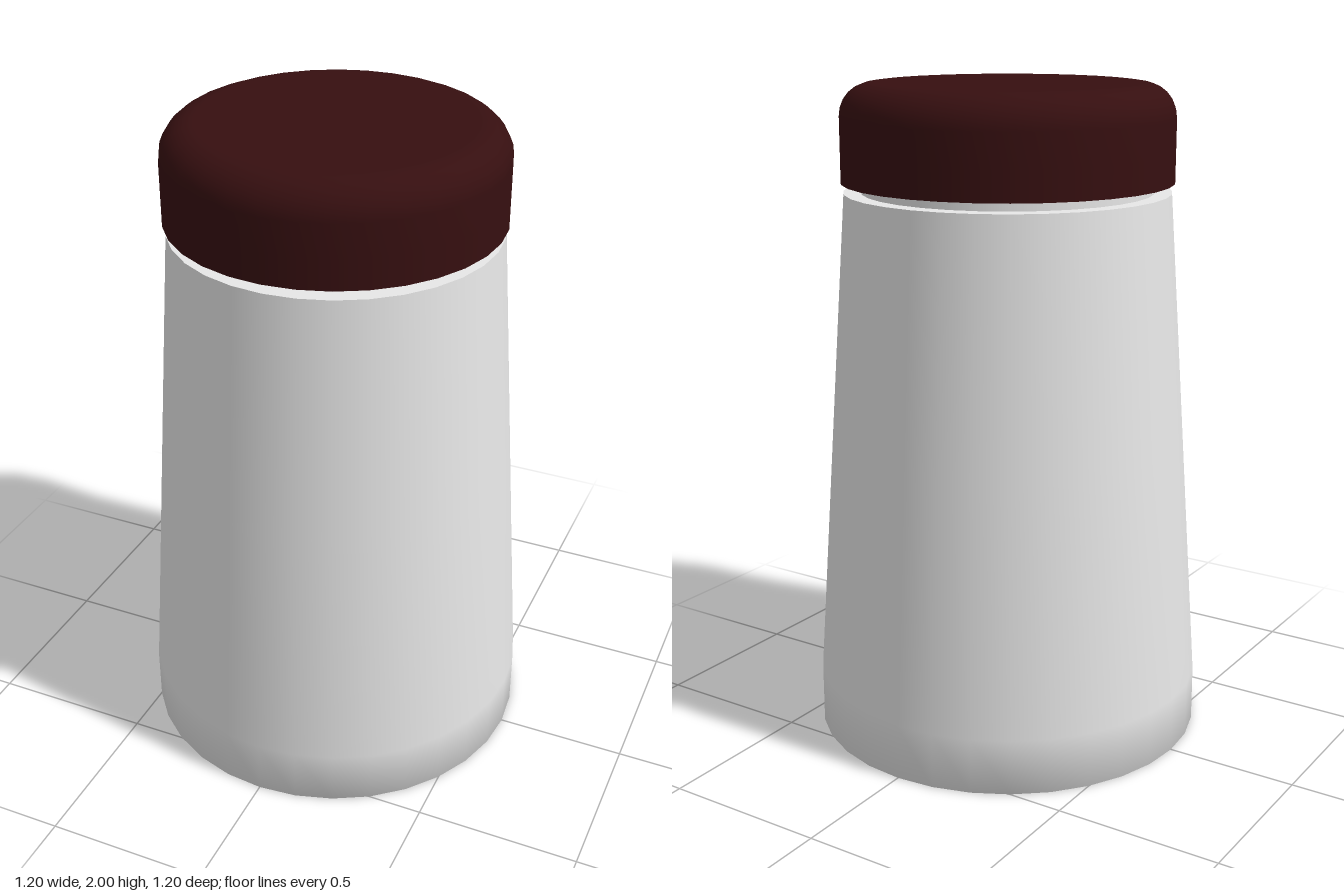
import * as THREE from 'three';

const SIDES = 32;

function material(name, color) {
  const m = new THREE.MeshStandardMaterial({ color });
  m.name = name;
  return m;
}

// Revolve [radius, height] pairs; outer walls run upward, inner walls downward
function turned(name, profile, mat) {
  const points = profile.map(([r, y]) => new THREE.Vector2(r, y));
  const mesh = new THREE.Mesh(new THREE.LatheGeometry(points, SIDES), mat);
  mesh.name = name;
  return mesh;
}

export function createModel() {
  const group = new THREE.Group();
  group.name = 'shaker';
  const white = material('glazed white', 0xececec);
  const maroon = material('dark maroon', 0x360f10);
  const green = material('seal green', 0x125c14);

  // Tapered outer wall, with its lower edge blending softly into the base rim
  group.add(turned('body', [
    [0.46, 0.03], [0.53, 0.005], [0.6, 0], [0.6, 0.17], [0.545, 0.94], [0.492, 1.68],
  ], white));

  // Flat shoulder and the short neck under the cap
  group.add(turned('shoulder', [[0.492, 1.68], [0.44, 1.68]], white));
  group.add(turned('neck', [[0.44, 1.68], [0.44, 1.72]], white));

  // Hollow inside, closed at the top
  group.add(turned('innerCeiling', [[0, 1.66], [0.4, 1.66]], white));
  group.add(turned('innerWall', [[0.4, 1.66], [0.46, 0.09]], white));

  // Seal ring set into the base opening
  group.add(turned('sealRing', [
    [0.46, 0.09], [0.41, 0.09], [0.415, 0.075], [0.46, 0.03],
  ], green));

  // Cap: straight skirt, rounded shoulder and flat top
  const skirtAndTop = [[0.5, 1.71], [0.5, 1.8], [0.5, 1.9]];
  for (let i = 1; i <= 6; i++) {
    const a = (i / 6) * Math.PI / 2;
    skirtAndTop.push([0.4 + 0.1 * Math.cos(a), 1.9 + 0.1 * Math.sin(a)]);
  }
  skirtAndTop.push([0, 2]);
  group.add(turned('cap', skirtAndTop, maroon));
  group.add(turned('capUnderside', [[0, 1.71], [0.5, 1.71]], maroon));

  return group;
}
